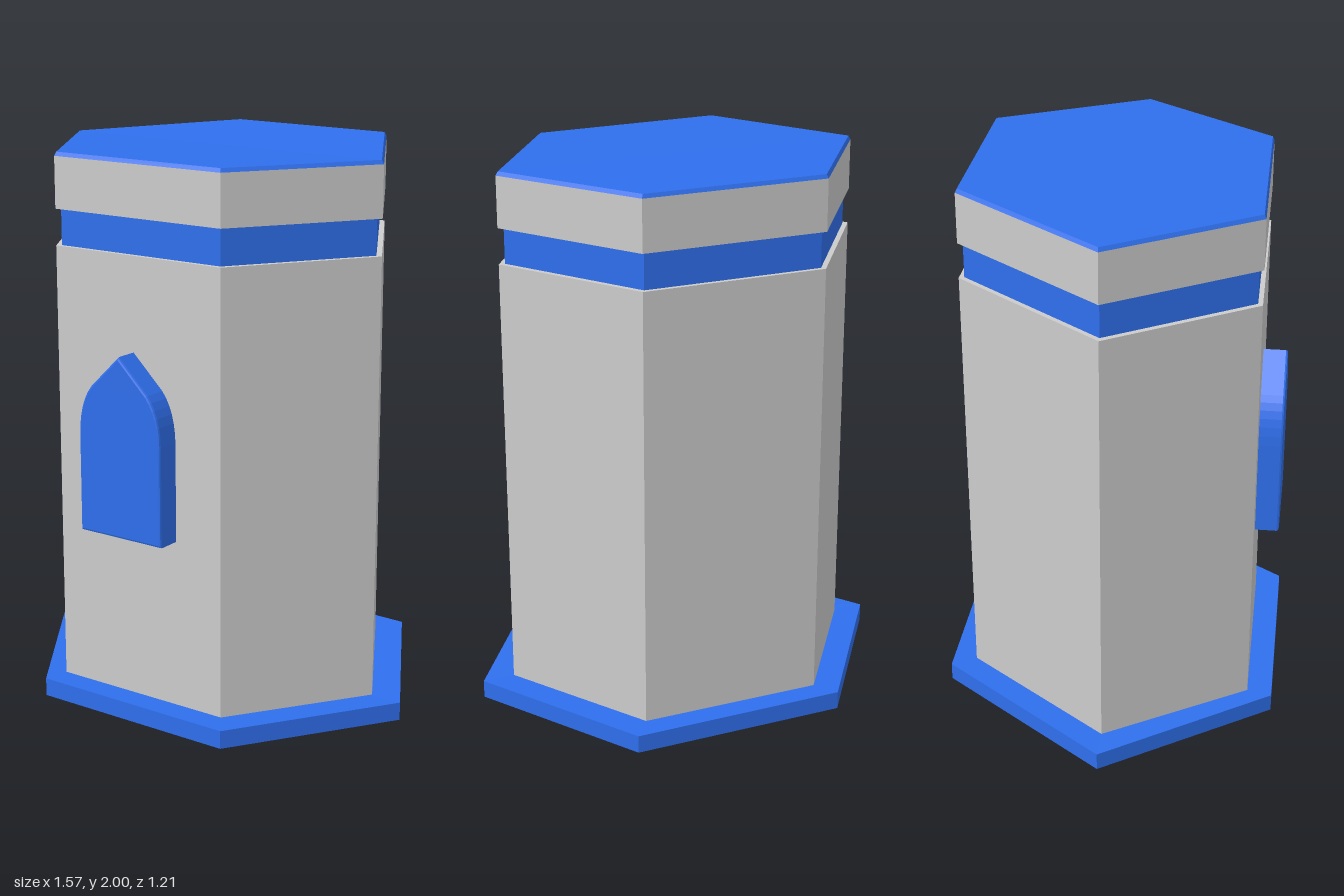
import * as THREE from 'three';

const grey = new THREE.MeshStandardMaterial({ color: 0xcccccc, flatShading: true });
const blue = new THREE.MeshStandardMaterial({ color: 0x2f6fed, flatShading: true });

// Hexagon corners [x, z]: left, back pair, right, front pair (slightly irregular)
const baseHex = [[-0.785, 0.01], [-0.365, -0.605], [0.415, -0.605], [0.785, 0.01], [0.415, 0.58], [-0.365, 0.60]];
const bodyHex = [[-0.67, 0.01], [-0.31, -0.52], [0.35, -0.515], [0.668, 0.01], [0.35, 0.49], [-0.345, 0.51]];
const scaled = (hex, s) => hex.map(([x, z]) => [x * s, z * s]);

// Hexagonal prism whose back half rises gently, from a lower to an upper ring
function hexPrism(name, material, lower, y0, upper, y1) {
  const ring = (hex, y) => hex.map(([x, z]) => new THREE.Vector3(x, y + Math.max(0, -z) * 0.034, z));
  const a = ring(lower, y0), b = ring(upper, y1);
  const points = [];
  const quad = (p, q, r, s) => points.push(p, q, r, p, r, s);
  for (let i = 0; i < 6; i++) {
    const j = (i + 1) % 6;
    quad(a[j], a[i], b[i], b[j]);
  }
  // End caps, creased along the left-right diagonal
  quad(b[3], b[2], b[1], b[0]);
  quad(b[0], b[5], b[4], b[3]);
  quad(a[0], a[1], a[2], a[3]);
  quad(a[3], a[4], a[5], a[0]);
  const geometry = new THREE.BufferGeometry().setFromPoints(points);
  geometry.computeVertexNormals();
  const mesh = new THREE.Mesh(geometry, material);
  mesh.name = name;
  return mesh;
}

// Pointed-arch window panel with softened edges
function makeWindow() {
  const bevel = 0.008;
  const shape = new THREE.Shape();
  shape.moveTo(-0.167, 0.683);
  shape.lineTo(0.167, 0.683);
  shape.lineTo(0.167, 1.03);
  shape.quadraticCurveTo(0.165, 1.14, 0.115, 1.2);
  shape.lineTo(0, 1.312);
  shape.lineTo(-0.115, 1.2);
  shape.quadraticCurveTo(-0.165, 1.14, -0.167, 1.03);
  shape.closePath();
  const geometry = new THREE.ExtrudeGeometry(shape, {
    depth: 0.1, curveSegments: 6,
    bevelEnabled: true, bevelSize: bevel, bevelThickness: bevel, bevelSegments: 2,
  });
  const mesh = new THREE.Mesh(geometry, blue);
  mesh.name = 'window';
  mesh.position.set(-0.013, 0, 0.48);
  mesh.rotation.y = 0.02;
  return mesh;
}

export function createModel() {
  const model = new THREE.Group();
  model.name = 'hexagonalTower';
  const neckHex = scaled(bodyHex, 0.967);
  model.add(
    hexPrism('basePlate', blue, baseHex, 0, baseHex, 0.066),
    hexPrism('body', grey, bodyHex, 0.06, bodyHex, 1.658),
    hexPrism('neckBand', blue, neckHex, 1.64, neckHex, 1.8),
    hexPrism('capBlock', grey, bodyHex, 1.786, bodyHex, 1.968),
    hexPrism('lid', blue, bodyHex, 1.968, scaled(bodyHex, 0.987), 1.982),
    makeWindow(),
  );
  return model;
}
